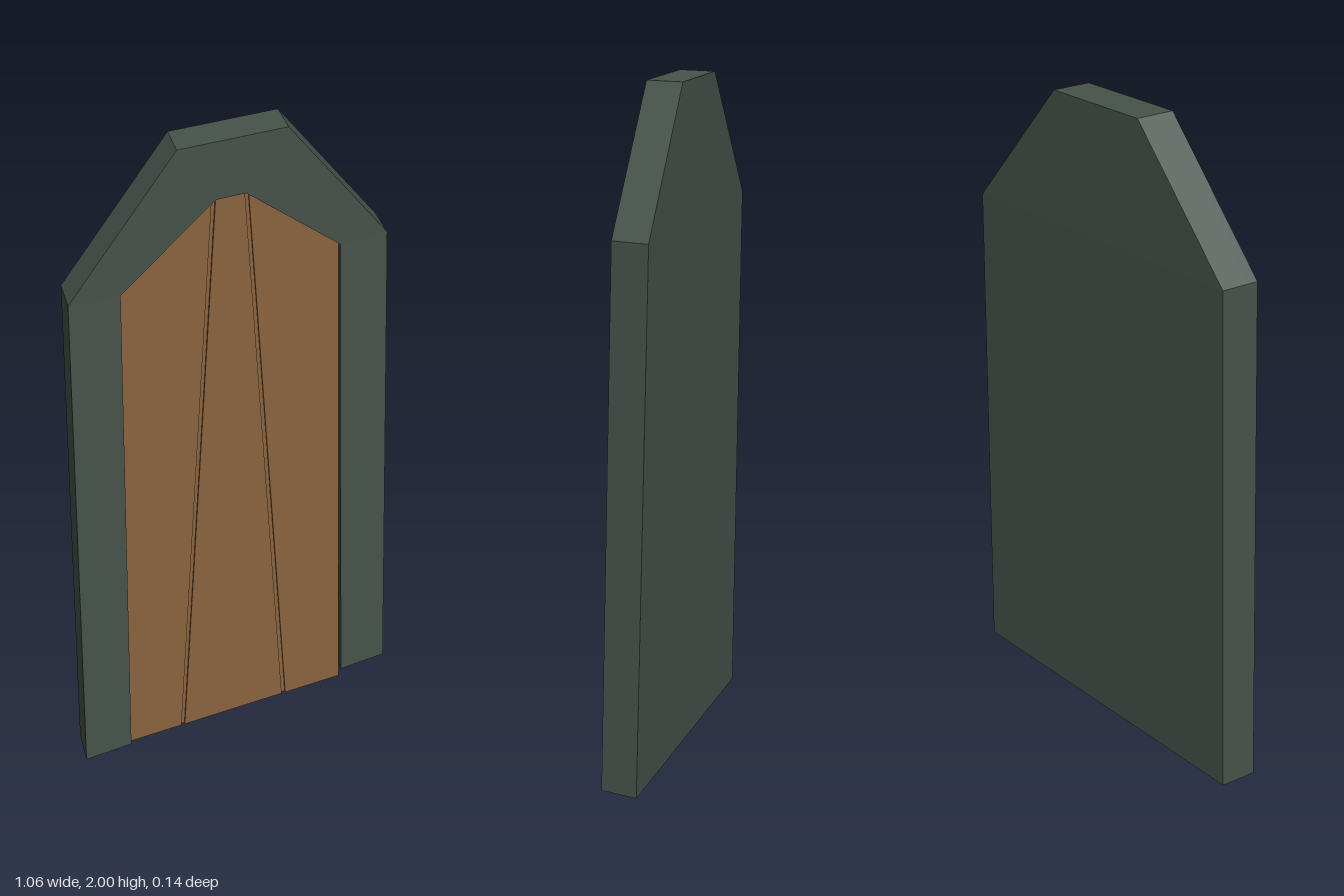
import * as THREE from 'three';

const stone = new THREE.MeshStandardMaterial({ color: 0x46524a, flatShading: true });
const wood = new THREE.MeshStandardMaterial({ color: 0x8a6340, flatShading: true });

// The whole door leans back up to the shoulder, then stands upright; depth is measured from its front face
const SHOULDER = 1.61;
const frontZ = (x, y) => 0.07 - 0.028 * Math.min(y, SHOULDER) / SHOULDER - 0.005 * (x + 0.5);

// Slab with the given front outline, between two depths, bent onto the leaning face
function slab(name, points, near, far, material) {
  const shape = new THREE.Shape(points.map(([x, y]) => new THREE.Vector2(x, y)));
  const geo = new THREE.ExtrudeGeometry(shape, { depth: far - near, bevelEnabled: false });
  const p = geo.attributes.position;
  for (let i = 0; i < p.count; i++) {
    const x = p.getX(i), y = p.getY(i), d = far - p.getZ(i);
    p.setXYZ(i, x + d * 0.19, y, frontZ(x, y) - d);
  }
  geo.computeVertexNormals();
  const mesh = new THREE.Mesh(geo, material);
  mesh.name = name;
  return mesh;
}

export function createModel() {
  const door = new THREE.Group();
  door.name = 'door';

  // Outer outline, with the lower right corner cut a little short
  const bottomL = [-0.53, 0], bottomR = [0.505, 0.05];
  const shoulderL = [-0.5, SHOULDER], shoulderR = [0.458, SHOULDER];
  const topL = [-0.18, 2], topR = [0.143, 2];

  // Raised frame around the opening
  door.add(slab('frame', [
    bottomL, [-0.38, 0.005], [-0.35, 1.605], [-0.07, 1.83], [0.02, 1.83], [0.31, 1.605],
    [0.352, 0.043], bottomR, shoulderR, topR, topL, shoulderL,
  ], 0, 0.03, stone));

  // Solid backing in two parts that meet at the shoulder
  door.add(slab('lowerBacking', [bottomL, bottomR, shoulderR, shoulderL], 0.03, 0.11, stone));
  door.add(slab('upperBacking', [shoulderL, shoulderR, topR, topL], 0.03, 0.11, stone));

  // Wooden panel: a base that shows in the grooves, and three planks
  door.add(slab('grooveBase', [
    [-0.38, 0], [0.35, 0], [0.31, 1.605], [0.02, 1.83], [-0.07, 1.83], [-0.35, 1.605],
  ], 0.025, 0.032, wood));
  const planks = [
    ['rightPlank', [[-0.38, 0], [-0.206, 0], [-0.077, 1.826], [-0.35, 1.605]]],
    ['middlePlank', [[-0.194, 0], [0.145, 0], [0.02, 1.83], [-0.065, 1.83]]],
    ['leftPlank', [[0.158, 0], [0.35, 0], [0.31, 1.605], [0.032, 1.822]]],
  ];
  for (const [name, points] of planks) door.add(slab(name, points, 0.018, 0.025, wood));

  return door;
}
